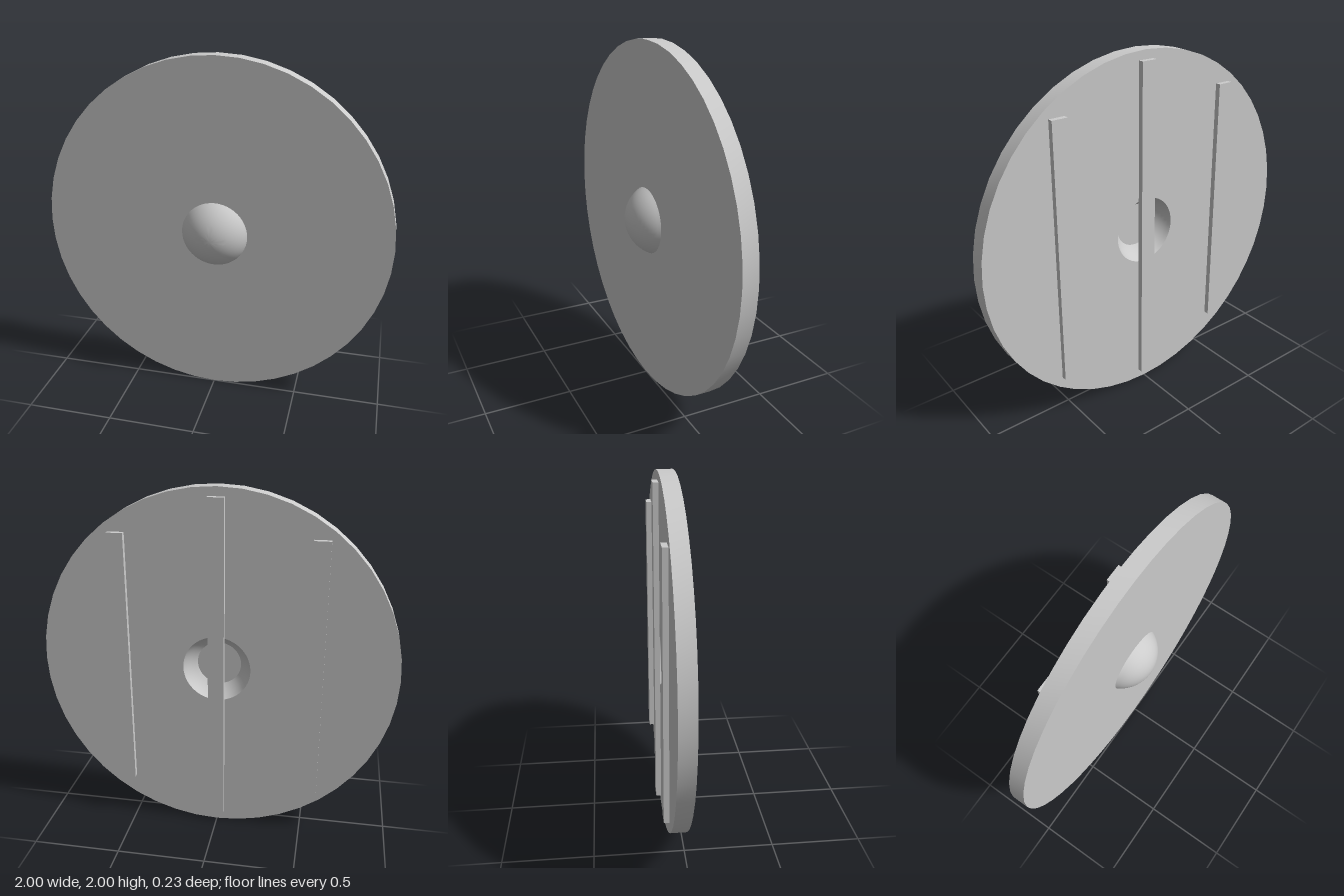
import * as THREE from 'three';
import { toCreasedNormals } from 'three/addons/utils/BufferGeometryUtils.js';

const material = new THREE.MeshStandardMaterial({ color: 0xcccccc });
const CENTRE_Y = 1;
const BACK = -0.09;

// Points on a circular arc around (0, centreZ), from angle a to b above the plane
function arc(radius, centreZ, a, b, steps) {
  const points = [];
  for (let i = 0; i <= steps; i++) {
    const t = a + ((b - a) * i) / steps;
    points.push([Math.cos(t) * radius, centreZ + Math.sin(t) * radius]);
  }
  points[steps][0] = Math.max(0, points[steps][0]);
  return points;
}

// Spin a [radius, z] profile around the front-to-back axis
function turned(name, profile, segments) {
  const points = profile.map(([r, z]) => new THREE.Vector2(r, z));
  const geometry = new THREE.LatheGeometry(points, segments).rotateX(Math.PI / 2);
  const mesh = new THREE.Mesh(toCreasedNormals(geometry, 0.6), material);
  mesh.name = name;
  mesh.position.y = CENTRE_Y;
  return mesh;
}

export function createModel() {
  const group = new THREE.Group();
  group.name = 'roundShield';

  // Round plate with a bowl-shaped hand recess sunk into its back
  const recess = arc(0.202, -0.159, Math.asin(0.159 / 0.202), Math.asin(0.069 / 0.202), 6);
  group.add(turned('plate', [[0, 0], ...recess, [1, BACK], [1, 0], [0.19, 0]], 48));

  // Domed boss on the front
  const bossCentre = -0.1;
  const bossRadius = 0.215;
  const boss = arc(bossRadius, bossCentre, Math.asin(-bossCentre / bossRadius), Math.PI / 2, 12);
  group.add(turned('boss', boss, 48));

  // Grip across the recess and a shorter brace on each side
  const bars = [
    ['grip', 0, 0.06, 1.95],
    ['leftBrace', 0.54, 0.26, 1.75],
    ['rightBrace', -0.545, 0.26, 1.75],
  ];
  for (const [name, x, bottom, top] of bars) {
    const bar = new THREE.Mesh(new THREE.BoxGeometry(0.09, top - bottom, 0.03), material);
    bar.name = name;
    bar.position.set(x, (top + bottom) / 2, BACK - 0.015);
    group.add(bar);
  }

  return group;
}
